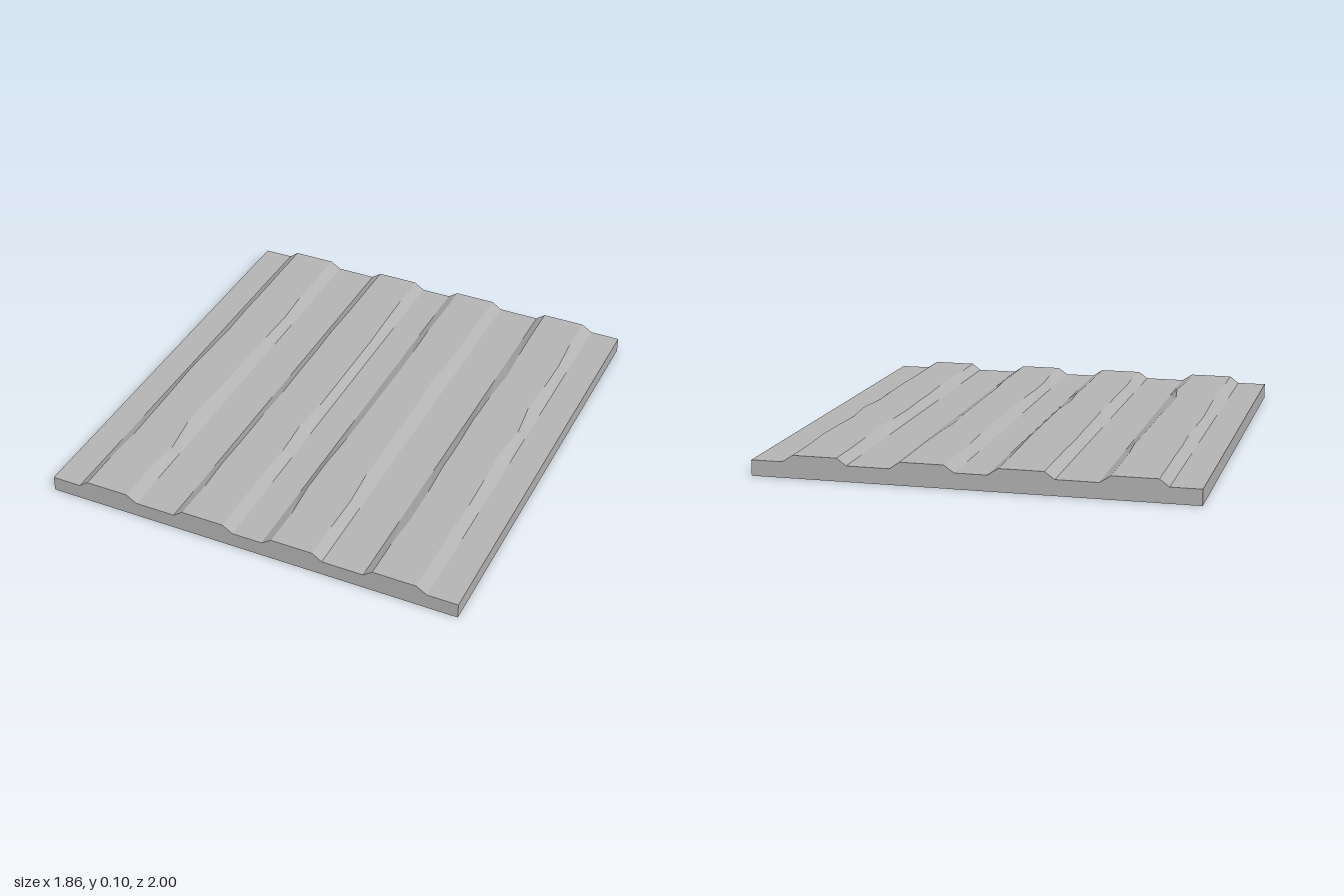
import * as THREE from 'three';

const HALF_WIDTH = 0.93, SLAB_TOP = 0.067, RIB_TOP = 0.097, SEGMENTS = 11;

// Each rib: foot x on both sides, crest x on both sides, and the wear along each crest edge (thousandths)
const RIBS = [
  { foot: [-0.80, -0.523], crest: [-0.76, -0.57],
    wear: [[0, 0, 2, 0, 5, 0, -5, 0, 4, 8, 0, 0], [0, 0, 0, 10, 4, 0, 0, -10, -10, 15, 0, 0]] },
  { foot: [-0.345, -0.07], crest: [-0.303, -0.115],
    wear: [[0, 0, 0, -4, 0, 0, 3, 0, 0, -3, 4, 0], [0, 0, 4, 10, 10, 10, 10, -5, 5, 0, 0, 0]] },
  { foot: [0.065, 0.337], crest: [0.109, 0.293],
    wear: [[0, 0, -4, 0, 3, 0, 0, -4, -12, -12, 2, 0], [0, 0, 0, -5, -17, -8, -8, -5, -8, 5, 2, 0]] },
  { foot: [0.52, 0.797], crest: [0.56, 0.75],
    wear: [[0, 0, 4, 12, 0, -5, 0, 0, 8, 10, 0, 0], [0, 0, 10, 6, -4, 15, -4, 2, 5, 0, 0, 0]] },
];

// Lofts the trapezoid section from back to front, with flat facets
function ribGeometry({ foot, crest, wear }) {
  const pos = [];
  const quad = (a, b, c, d) => pos.push(...a, ...b, ...c, ...a, ...c, ...d);
  const sections = Array.from({ length: SEGMENTS + 1 }, (_, i) => {
    const z = -1 + (2 * i) / SEGMENTS;
    return [
      [foot[0], SLAB_TOP, z],
      [crest[0] + wear[0][i] / 1000, RIB_TOP, z],
      [crest[1] + wear[1][i] / 1000, RIB_TOP, z],
      [foot[1], SLAB_TOP, z],
    ];
  });
  for (let i = 0; i < SEGMENTS; i++) {
    const back = sections[i], front = sections[i + 1];
    for (let k = 0; k < 3; k++) quad(back[k], front[k], front[k + 1], back[k + 1]);
  }
  // End faces
  const [b0, b1, b2, b3] = sections[0];
  const [f0, f1, f2, f3] = sections[SEGMENTS];
  quad(b0, b1, b2, b3);
  quad(f0, f3, f2, f1);
  const geometry = new THREE.BufferGeometry();
  geometry.setAttribute('position', new THREE.Float32BufferAttribute(pos, 3));
  geometry.computeVertexNormals();
  return geometry;
}

export function createModel() {
  const model = new THREE.Group();
  model.name = 'ribbedPanel';
  const grey = new THREE.MeshStandardMaterial({ color: 0xb4b4b4 });
  grey.name = 'plain grey';
  grey.flatShading = true;

  // Flat base slab
  const slab = new THREE.Mesh(new THREE.BoxGeometry(HALF_WIDTH * 2, SLAB_TOP, 2), grey);
  slab.name = 'baseSlab';
  slab.position.y = SLAB_TOP / 2;
  model.add(slab);

  // Raised ribs running front to back
  RIBS.forEach((rib, i) => {
    const mesh = new THREE.Mesh(ribGeometry(rib), grey);
    mesh.name = `raisedRib${i + 1}`;
    model.add(mesh);
  });
  return model;
}
